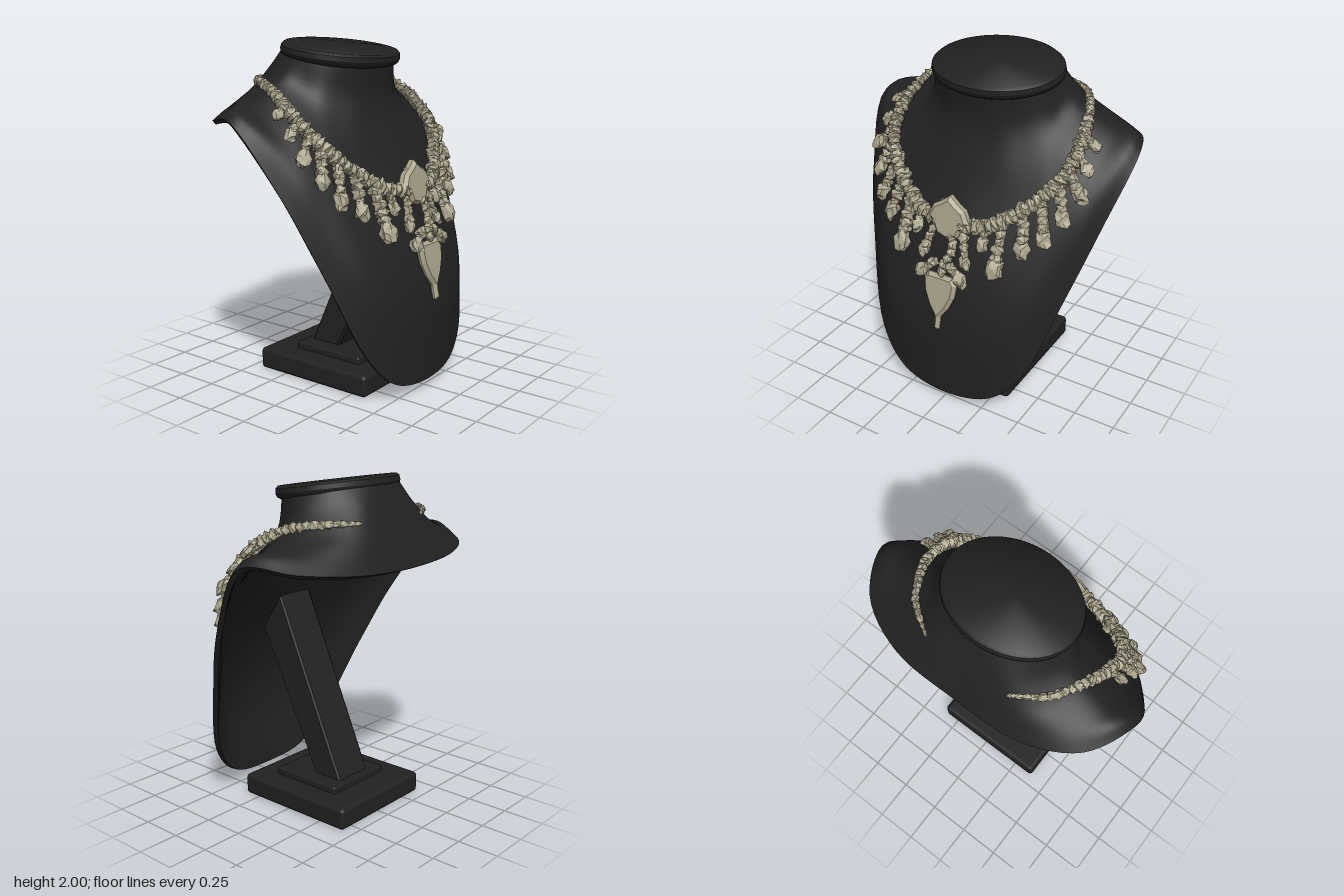
import * as THREE from 'three';
import { toCreasedNormals } from 'three/addons/utils/BufferGeometryUtils.js';
import { RoundedBoxGeometry } from 'three/addons/geometries/RoundedBoxGeometry.js';

const black = new THREE.MeshStandardMaterial({ color: 0x222222 });
black.name = 'matte black';
const stone = new THREE.MeshStandardMaterial({ color: 0xaaa58c, flatShading: true });
stone.name = 'pale stone';

function add(parent, name, geometry, material, x = 0, y = 0, z = 0) {
  const mesh = new THREE.Mesh(geometry, material);
  mesh.name = name;
  mesh.position.set(x, y, z);
  parent.add(mesh);
  return mesh;
}

let seed = 7;
const random = () => (seed = (seed * 16807) % 2147483647) / 2147483647;

// Four points down the bust for each direction, from front round to back, neck to rim
const AZIMUTH = [0, 20, 40, 60, 75, 95, 125, 153, 180];
const RIBS = [
  [0, 1.65, 0.16, 0, 1.4, 0.25, 0, 1, 0.44, 0, 0.6, 0.545, 0, 0.05, 0.54],
  [0.15, 1.65, 0.15, 0.2, 1.38, 0.24, 0.25, 0.98, 0.42, 0.28, 0.58, 0.52, 0.3, 0.1, 0.51],
  [0.26, 1.67, 0.1, 0.34, 1.4, 0.2, 0.42, 1.05, 0.35, 0.46, 0.7, 0.445, 0.49, 0.3, 0.45],
  [0.36, 1.7, 0.03, 0.46, 1.48, 0.12, 0.55, 1.23, 0.235, 0.61, 1.02, 0.275, 0.66, 0.8, 0.27],
  [0.41, 1.74, -0.06, 0.53, 1.6, 0, 0.64, 1.45, 0.075, 0.71, 1.33, 0.11, 0.775, 1.2, 0.09],
  [0.44, 1.8, -0.18, 0.56, 1.71, -0.2, 0.68, 1.655, -0.2, 0.8, 1.63, -0.19, 0.855, 1.58, -0.18],
  [0.36, 1.82, -0.34, 0.46, 1.72, -0.38, 0.56, 1.66, -0.41, 0.65, 1.61, -0.43, 0.72, 1.56, -0.45],
  [0.22, 1.84, -0.45, 0.28, 1.74, -0.5, 0.33, 1.66, -0.54, 0.38, 1.59, -0.57, 0.42, 1.53, -0.6],
  [0, 1.84, -0.47, 0, 1.74, -0.52, 0, 1.66, -0.555, 0, 1.58, -0.59, 0, 1.51, -0.62],
];
const U = 96, V = 30;

function bustSkin() {
  const ribs = RIBS.map((r, i) => {
    const a = THREE.MathUtils.degToRad(AZIMUTH[i]);
    const pts = [new THREE.Vector3(0.375 * Math.sin(a), 1.905 - 0.045 * Math.cos(a), -0.125 + 0.295 * Math.cos(a))];
    for (let k = 0; k < r.length; k += 3) pts.push(new THREE.Vector3(r[k], r[k + 1], r[k + 2]));
    return new THREE.CatmullRomCurve3(pts);
  });
  const pos = [], index = [];
  for (let v = 0; v <= V; v++) {
    const half = ribs.map((c) => c.getPoint(v / V));
    const mirrored = half.slice(1, -1).reverse().map((p) => new THREE.Vector3(-p.x, p.y, p.z));
    const loop = new THREE.CatmullRomCurve3([...half, ...mirrored], true);
    for (let u = 0; u < U; u++) pos.push(...loop.getPoint(u / U).toArray());
  }
  for (let v = 0; v < V; v++) for (let u = 0; u < U; u++) {
    const a = v * U + u, b = v * U + (u + 1) % U;
    index.push(a, a + U, b, b, a + U, b + U);
  }
  const g = new THREE.BufferGeometry();
  g.setAttribute('position', new THREE.Float32BufferAttribute(pos, 3));
  g.setIndex(index);
  g.computeVertexNormals();
  return g;
}

// Gives the skin a thickness: inner face plus a wall round the rim
function thicken(skin, t) {
  const p = skin.attributes.position.array, n = skin.attributes.normal.array;
  const idx = [...skin.index.array], N = p.length / 3;
  const pos = [...p, ...p.map((c, i) => c - n[i] * t)];
  const all = [...idx];
  for (let i = 0; i < idx.length; i += 3) all.push(idx[i] + N, idx[i + 2] + N, idx[i + 1] + N);
  for (let u = 0; u < U; u++) {
    const a = V * U + u, b = V * U + (u + 1) % U;
    all.push(a, a + N, b, b, a + N, b + N);
  }
  const g = new THREE.BufferGeometry();
  g.setAttribute('position', new THREE.Float32BufferAttribute(pos, 3));
  g.setIndex(all);
  return toCreasedNormals(g, 0.7);
}

// Point on the chest at (x, y), raised along its normal
function onChest(skin, x, y, lift) {
  const p = skin.attributes.position, n = skin.attributes.normal;
  let best = 0, least = Infinity;
  for (let i = 0; i < p.count; i++) {
    if (n.getZ(i) < 0.15) continue;
    const d = (p.getX(i) - x) ** 2 + (p.getY(i) - y) ** 2;
    if (d < least) { least = d; best = i; }
  }
  const normal = new THREE.Vector3().fromBufferAttribute(n, best);
  const z = p.getZ(best) - (normal.x * (x - p.getX(best)) + normal.y * (y - p.getY(best))) / normal.z;
  return { point: new THREE.Vector3(x, y, z).addScaledVector(normal, lift), normal };
}

// Rough faceted lump of radius 1
function lump() {
  const g = new THREE.IcosahedronGeometry(1, 1), p = g.attributes.position, s = random() * 50;
  for (let i = 0; i < p.count; i++) {
    const x = p.getX(i), y = p.getY(i), z = p.getZ(i);
    const k = 1 + 0.22 * Math.sin(4 * x + s) * Math.sin(5 * y + 2 * s) + 0.15 * Math.sin(6 * z + 3 * s);
    p.setXYZ(i, x * k, y * k, z * k);
  }
  g.computeVertexNormals();
  return g;
}

// Lump stretched along a direction, flattened along the chest normal
function stone3(parent, name, point, along, normal, w, h, d) {
  const mesh = add(parent, name, lump(), stone, point.x, point.y, point.z);
  const y = along.clone().normalize();
  const x = new THREE.Vector3().crossVectors(y, normal).normalize();
  const z = new THREE.Vector3().crossVectors(x, y);
  mesh.quaternion.setFromRotationMatrix(new THREE.Matrix4().makeBasis(x, y, z));
  mesh.scale.set(w, h, d);
}

function plate(outline, depth) {
  const right = outline.map(([x, y]) => new THREE.Vector2(x, y));
  const left = outline.filter(([x]) => x > 0).reverse().map(([x, y]) => new THREE.Vector2(-x, y));
  return new THREE.ExtrudeGeometry(new THREE.Shape([...right, ...left]), {
    depth, bevelEnabled: true, bevelThickness: 0.02, bevelSize: 0.02, bevelOffset: -0.02, bevelSegments: 1,
  });
}

function buildNecklace(skin) {
  const necklace = new THREE.Group();
  necklace.name = 'necklace';
  const strandPoints = [
    [0.28, 1.77, -0.48], [0.43, 1.77, -0.375], [0.53, 1.74, -0.2], [0.58, 1.63, -0.01], [0.565, 1.5, 0.13],
    [0.5, 1.4, 0.22], [0.38, 1.29, 0.31], [0.24, 1.2, 0.38], [0.08, 1.17, 0.42],
  ];
  // Pendants: start x, y, tip x, y, size
  const pendants = [
    [0.58, 1.62, 0.66, 1.57, 0.032], [0.58, 1.55, 0.66, 1.47, 0.036], [0.56, 1.48, 0.66, 1.36, 0.042],
    [0.53, 1.42, 0.6, 1.24, 0.042], [0.46, 1.36, 0.53, 1.13, 0.043], [0.38, 1.29, 0.43, 1.06, 0.045],
    [0.29, 1.22, 0.3, 0.94, 0.05], [0.2, 1.17, 0.21, 1.05, 0.036], [0.1, 1.09, 0.14, 0.94, 0.034],
    [0.06, 0.92, 0.14, 0.85, 0.04],
  ];
  for (const side of [1, -1]) {
    const path = new THREE.CatmullRomCurve3(strandPoints.map(([x, y, z]) => new THREE.Vector3(side * x, y, z)));
    const count = 38;
    for (let i = 0; i <= count; i++) {
      const t = i / count, r = 0.014 + 0.028 * Math.min(1, t * 2.2);
      const point = path.getPointAt(t);
      const outward = new THREE.Vector3(point.x, 0.3, point.z + 0.1);
      stone3(necklace, 'strandStone', point, path.getTangentAt(t), outward, r * (0.85 + 0.35 * random()), 0.028, r * 0.9);
    }
    for (const [x0, y0, x1, y1, size] of pendants) {
      const a = onChest(skin, side * x0, y0, 0.045), b = onChest(skin, side * x1, y1, 0.045);
      const along = b.point.clone().sub(a.point), length = along.length();
      const links = Math.max(2, Math.round(length / 0.05));
      for (let i = 0; i < links; i++) {
        const w = size * (0.55 + 0.3 * random());
        stone3(necklace, 'pendantLink', a.point.clone().addScaledVector(along, (i / links) * 0.85), along, a.normal, w, 0.036, w);
      }
      const tip = b.point.clone().addScaledVector(along, -0.03 / length);
      stone3(necklace, 'pendantDrop', tip, along, b.normal, size, size * 1.35, size * 0.8);
    }
  }
  // Centre medallion and hanging leaf
  const medallion = add(necklace, 'medallion', plate(
    [[0, -0.12], [0.07, -0.1], [0.1, -0.03], [0.135, 0.0], [0.1, 0.07], [0.05, 0.1], [0, 0.14]], 0.03), stone, 0, 1.19, 0.4);
  medallion.rotation.x = -0.15;
  stone3(necklace, 'medallionBack', new THREE.Vector3(0, 1.19, 0.39), new THREE.Vector3(0, 1, 0), new THREE.Vector3(0, 0, 1), 0.1, 0.1, 0.05);
  const leaf = add(necklace, 'leafPendant', plate(
    [[0, -0.25], [0.018, -0.24], [0.022, -0.16], [0.065, -0.1], [0.1, -0.02], [0.11, 0.06], [0.08, 0.1], [0, 0.1]], 0.012), stone, 0, 0.78, 0.525);
  leaf.rotation.x = -0.18;
  for (let i = 0; i < 6; i++) {
    const { point, normal } = onChest(skin, 0.025 + 0.02 * Math.sin(i), 1.08 - i * 0.038, 0.045);
    stone3(necklace, 'centreLink', point, new THREE.Vector3(0, -1, 0.3), normal, 0.026, 0.034, 0.026);
  }
  return necklace;
}

export function createModel() {
  const model = new THREE.Group();
  model.name = 'necklaceDisplay';
  const skin = bustSkin();
  add(model, 'bustShell', thicken(skin, 0.03), black);

  // Tilted neck cap with a rounded lip
  const profile = [[0, -0.075], [0.93, -0.075], [0.98, -0.062], [1, -0.04], [0.99, -0.014], [0.95, 0], [0, 0]];
  const cap = add(model, 'neckCap', toCreasedNormals(
    new THREE.LatheGeometry(profile.map(([x, y]) => new THREE.Vector2(x, y)), 64), 0.7), black, 0, 1.953, -0.1);
  cap.scale.set(0.395, 1, 0.322);
  cap.rotation.x = 0.142;

  // Panel closing the neck from below
  const panel = add(model, 'neckPanel', new THREE.CircleGeometry(1, 48), black, 0, 1.745, -0.155);
  panel.scale.set(0.405, 0.3, 1);
  panel.rotation.x = Math.PI / 2 + 0.3;

  // Stand: base, step and leaning post
  add(model, 'base', new RoundedBoxGeometry(0.73, 0.13, 0.79, 3, 0.025), black, -0.02, 0.065, -0.043);
  add(model, 'baseStep', new RoundedBoxGeometry(0.46, 0.06, 0.47, 2, 0.015), black, -0.02, 0.14, -0.025);
  const side = new THREE.Shape([[0.22, 0.16], [-0.26, 1.24], [-0.41, 1.03], [0.02, 0.16]].map(([x, y]) => new THREE.Vector2(x, y)));
  const post = add(model, 'post', new THREE.ExtrudeGeometry(side, {
    depth: 0.24, bevelThickness: 0.012, bevelSize: 0.012, bevelOffset: -0.012, bevelSegments: 1,
  }), black, -0.14, 0, 0);
  post.rotation.y = Math.PI / 2;

  model.add(buildNecklace(skin));
  return model;
}
